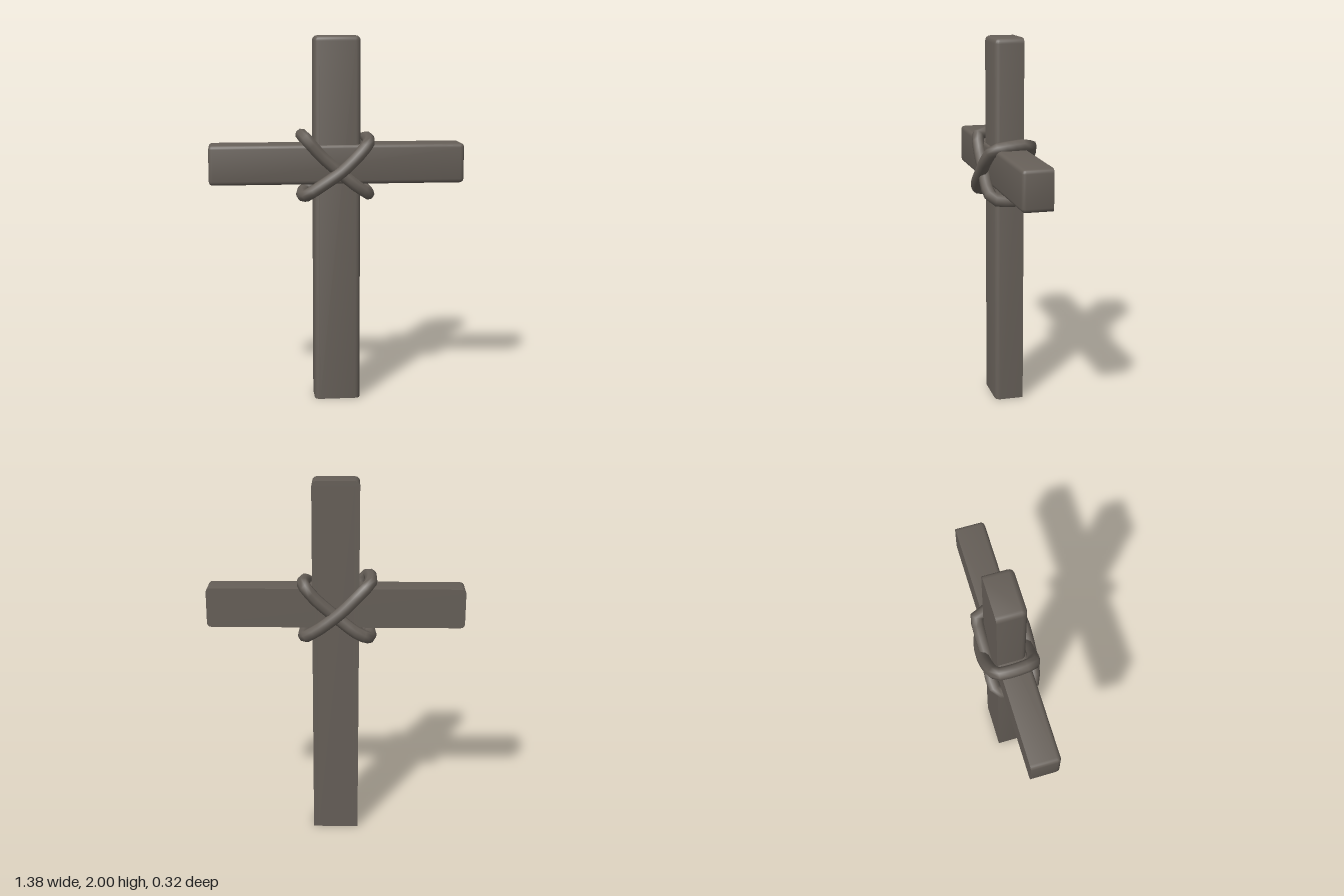
import * as THREE from 'three';
import { toCreasedNormals } from 'three/addons/utils/BufferGeometryUtils.js';
import { RoundedBoxGeometry } from 'three/addons/geometries/RoundedBoxGeometry.js';

const wood = new THREE.MeshStandardMaterial({ color: 0x665f58 });
wood.name = 'greyBrownWood';

// Beam with softened front edges, a flat sharp back and optionally a sharp foot
function beam(name, w, h, d, r, sharpFoot) {
  const geo = new RoundedBoxGeometry(w, h, d, 2, r);
  const p = geo.attributes.position;
  for (let i = 0; i < p.count; i++) {
    if (p.getZ(i) < 0) p.setZ(i, -d / 2);
    if (sharpFoot && p.getY(i) < 0) p.setY(i, -h / 2);
  }
  const mesh = new THREE.Mesh(toCreasedNormals(geo, 0.7), wood);
  mesh.name = name;
  return mesh;
}

// Closed rope lashing through a few centreline points
function rope(name, points) {
  const path = new THREE.CatmullRomCurve3(
    points.map(([x, y, z]) => new THREE.Vector3(x, y, z)), true, 'catmullrom', 0.35);
  const mesh = new THREE.Mesh(new THREE.TubeGeometry(path, 28, 0.034, 8, true), wood);
  mesh.name = name;
  return mesh;
}

export function createModel() {
  const group = new THREE.Group();
  group.name = 'lashedCross';

  const upright = beam('upright', 0.25, 2, 0.155, 0.028, true);
  upright.position.set(0, 1, -0.006);

  const crossbar = beam('crossbar', 1.38, 0.215, 0.16, 0.022, false);
  crossbar.position.set(0, 1.317, 0.002);
  group.add(upright, crossbar);

  // Falls to the right: under at the front, over at the back
  group.add(rope('fallingLashing', [
    [-0.17, 1.455, 0.095], [-0.09, 1.365, 0.105], [0, 1.285, 0.105], [0.09, 1.21, 0.11],
    [0.16, 1.162, 0.09], [0.172, 1.15, 0],
    [0.16, 1.165, -0.095], [0.08, 1.22, -0.122], [-0.03, 1.31, -0.13], [-0.12, 1.40, -0.122],
    [-0.18, 1.46, -0.095], [-0.187, 1.468, 0],
  ]));

  // Rises to the right: over at the front, under at the back
  group.add(rope('risingLashing', [
    [-0.17, 1.155, 0.1], [-0.08, 1.215, 0.122], [0.02, 1.285, 0.125], [0.1, 1.36, 0.118],
    [0.16, 1.425, 0.09], [0.175, 1.442, 0],
    [0.165, 1.445, -0.105], [0.1, 1.37, -0.112], [0, 1.28, -0.105], [-0.1, 1.20, -0.112],
    [-0.17, 1.16, -0.095], [-0.187, 1.147, 0],
  ]));

  return group;
}
